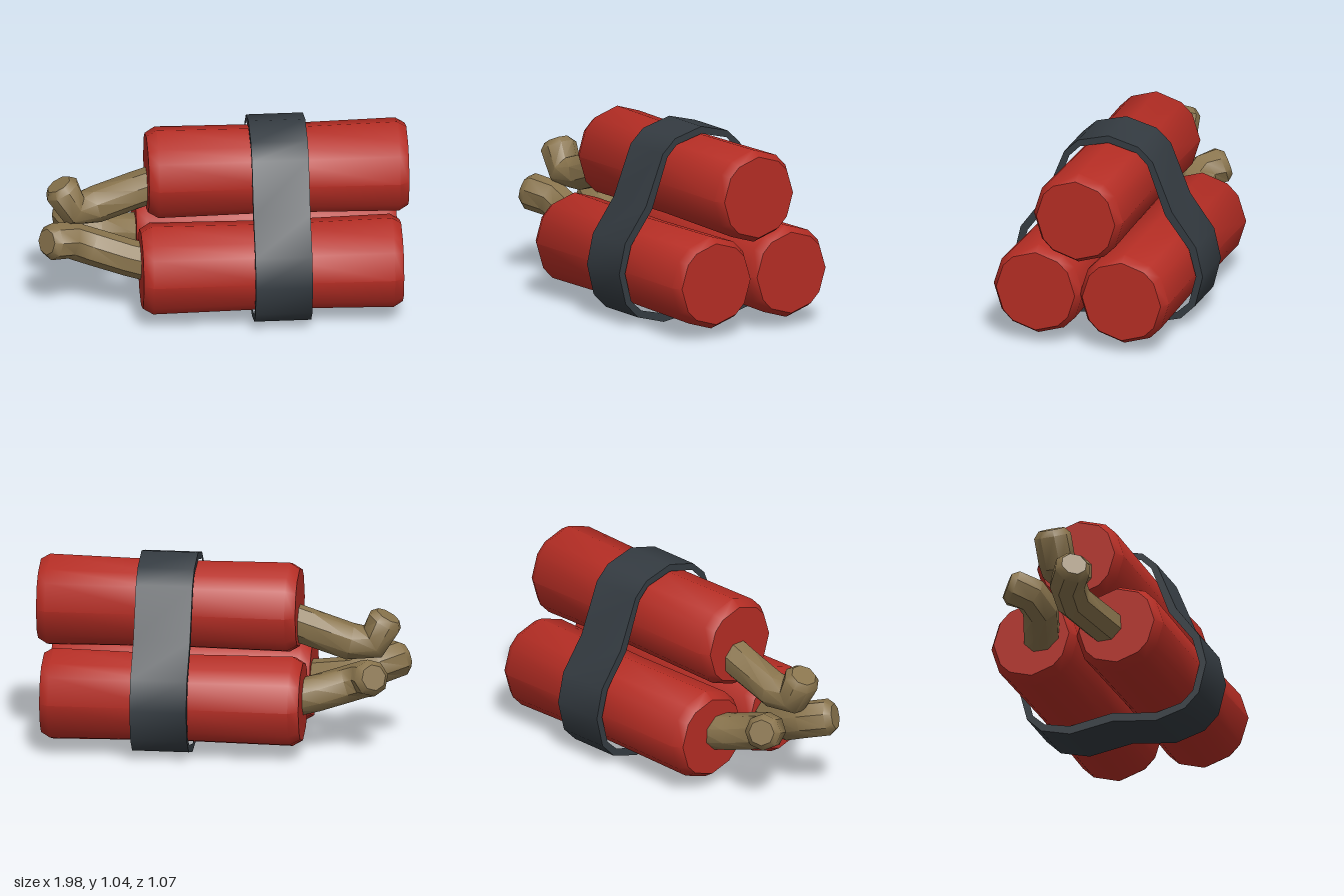
import * as THREE from 'three';
import { toCreasedNormals } from 'three/addons/utils/BufferGeometryUtils.js';

const red = new THREE.MeshStandardMaterial({ name: 'red casing', color: 0xb52d24 });
const tan = new THREE.MeshStandardMaterial({ name: 'tan cord', color: 0x89744d });
const slate = new THREE.MeshStandardMaterial({ name: 'slate strap', color: 0x343b41 });

const CREASE = 0.78;

// Closed solid through equal-sized rings, capped at both ends
function loft(rings) {
  const n = rings[0].length;
  const pos = rings.flat().flatMap((p) => p.toArray());
  const idx = [];
  for (let k = 0; k < rings.length - 1; k++) {
    for (let i = 0; i < n; i++) {
      const a = k * n + i, b = k * n + (i + 1) % n;
      idx.push(a, b, b + n, a, b + n, a + n);
    }
  }
  const last = (rings.length - 1) * n;
  for (let i = 1; i < n - 1; i++) {
    idx.push(0, i + 1, i, last, last + i, last + i + 1);
  }
  const geo = new THREE.BufferGeometry();
  geo.setAttribute('position', new THREE.Float32BufferAttribute(pos, 3));
  geo.setIndex(idx);
  return toCreasedNormals(geo, CREASE);
}

// Uneven twelve-sided section, chamfered ends, slight pinch under the strap
const stickAngles = [0, 90, 180, 270].flatMap((a) => [a, a + 35, a + 55]);
function makeStick(name, x0, y, z) {
  const profile = [[0, 0.215], [0.055, 0.248], [0.7, 0.24], [1.345, 0.252], [1.395, 0.222]];
  const rings = profile.map(([x, r]) => stickAngles.map((deg) => {
    const a = THREE.MathUtils.degToRad(deg);
    return new THREE.Vector3(x0 + x, y + r * Math.cos(a), z + r * Math.sin(a));
  }));
  const mesh = new THREE.Mesh(loft(rings), red);
  mesh.name = name;
  return mesh;
}

// Bent eight-sided cord with a chamfered tip
function makeFuse(name, coords) {
  const pts = coords.map((c) => new THREE.Vector3(...c));
  const end = pts.length - 1;
  const tipDir = pts[end].clone().sub(pts[end - 1]).normalize();
  pts.push(pts[end].clone().addScaledVector(tipDir, 0.035));
  const ref = new THREE.Vector3(0, 0, 1);
  const rings = pts.map((p, k) => {
    const t = pts[Math.min(k + 1, pts.length - 1)].clone()
      .sub(pts[Math.max(k - 1, 0)]).normalize();
    const u = ref.clone().cross(t).normalize();
    const v = t.clone().cross(u);
    const r = k === pts.length - 1 ? 0.07 : 0.1;
    return Array.from({ length: 8 }, (_, i) => {
      const a = (i + 0.5) * Math.PI / 4;
      return p.clone().addScaledVector(u, r * Math.cos(a)).addScaledVector(v, r * Math.sin(a));
    });
  });
  const mesh = new THREE.Mesh(loft(rings), tan);
  mesh.name = name;
  return mesh;
}

// Mirror a half outline that starts and finishes on the centre line
function mirrored(half) {
  const other = half.slice(1, -1).reverse().map(([z, y]) => [-z, y]);
  return [...half, ...other].map(([z, y]) => new THREE.Vector2(z, y));
}

function makeStrap() {
  const shape = new THREE.Shape(mirrored([[0, 1.045], [0.17, 1.0], [0.25, 0.925], [0.36, 0.65],
    [0.495, 0.465], [0.533, 0.3], [0.49, 0.13], [0.41, 0.05], [0.245, 0.004], [0, 0.04]]));
  shape.holes.push(new THREE.Path(mirrored([[0, 1.005], [0.16, 0.965], [0.22, 0.905], [0.32, 0.63],
    [0.455, 0.45], [0.495, 0.3], [0.455, 0.145], [0.39, 0.085], [0.245, 0.05], [0, 0.088]])));
  const geo = new THREE.ExtrudeGeometry(shape, { depth: 0.305, bevelEnabled: false });
  geo.rotateY(Math.PI / 2);
  geo.translate(0.148, 0, 0);
  const mesh = new THREE.Mesh(toCreasedNormals(geo, CREASE), slate);
  mesh.name = 'strap';
  return mesh;
}

export function createModel() {
  const model = new THREE.Group();
  model.name = 'strapped bundle';
  model.add(
    makeStick('topStick', -0.4, 0.758, 0),
    makeStick('frontStick', -0.447, 0.305, 0.243),
    makeStick('backStick', -0.447, 0.305, -0.243),
    makeStrap(),
    makeFuse('topFuse', [[-0.3, 0.705, -0.01], [-0.45, 0.655, -0.01], [-0.67, 0.58, 0],
      [-0.79, 0.575, 0.03], [-0.855, 0.69, 0.03]]),
    makeFuse('frontFuse', [[-0.35, 0.305, 0.2], [-0.5, 0.33, 0.155], [-0.69, 0.37, 0.09],
      [-0.81, 0.42, 0.1], [-0.92, 0.45, 0.17]]),
    makeFuse('backFuse', [[-0.35, 0.305, -0.22], [-0.5, 0.33, -0.165], [-0.66, 0.37, -0.11],
      [-0.76, 0.41, -0.13], [-0.81, 0.44, -0.21]]),
  );
  return model;
}
